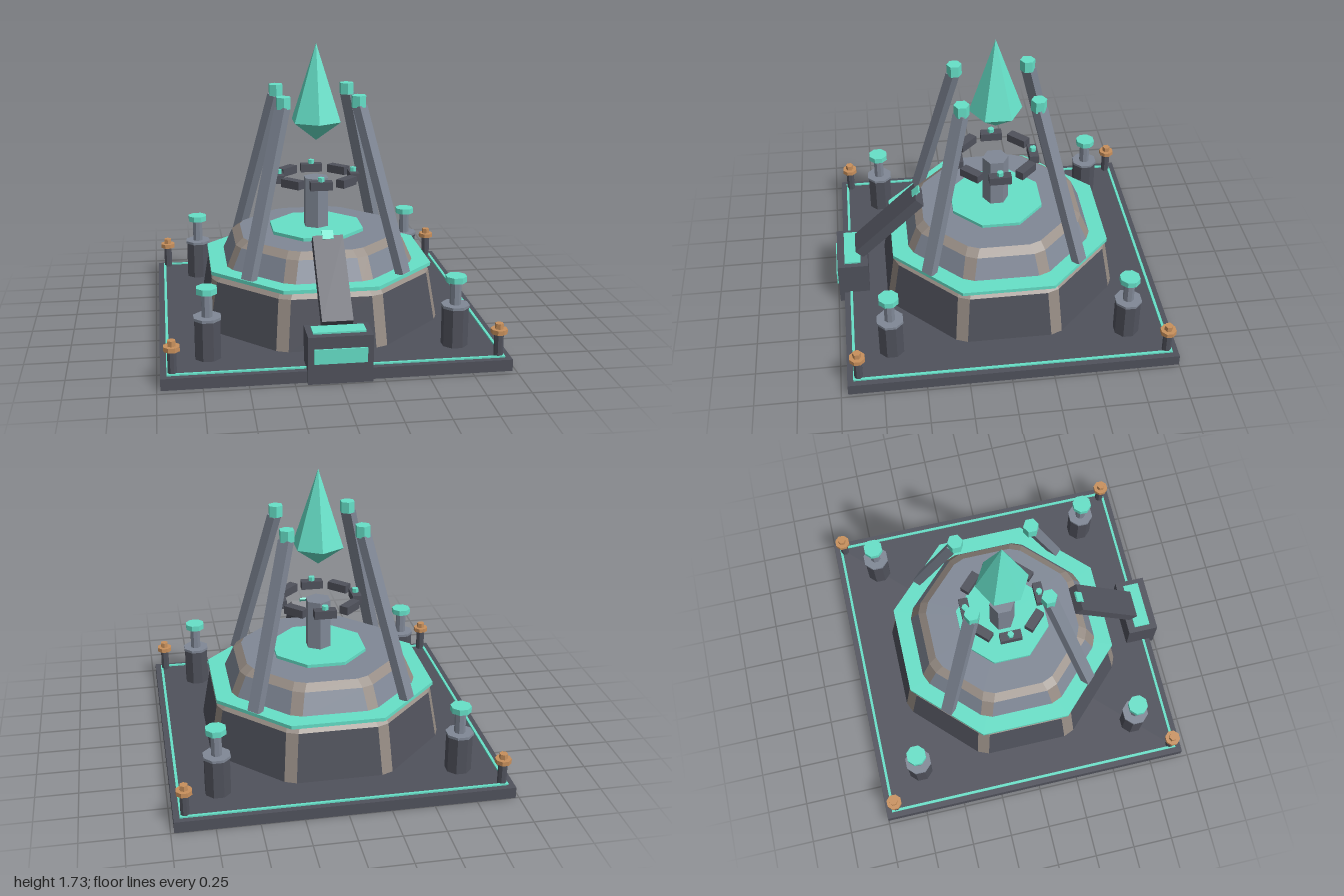
import * as THREE from 'three';

const mat = (color) => new THREE.MeshStandardMaterial({ color, flatShading: true });
const DARK = mat(0x50525c), GREY = mat(0x808896), TEAL = mat(0x66e0c8);
const TAN = mat(0x958b83), COPPER = mat(0xc8905c);

function add(parent, name, geometry, material, x = 0, y = 0, z = 0) {
  const mesh = new THREE.Mesh(geometry, material);
  mesh.name = name;
  mesh.position.set(x, y, z);
  parent.add(mesh);
  return mesh;
}

// Box and prism given by their bottom and top heights
const box = (parent, name, m, w, d, y0, y1, x = 0, z = 0) =>
  add(parent, name, new THREE.BoxGeometry(w, y1 - y0, d), m, x, (y0 + y1) / 2, z);

function prism(parent, name, m, sides, r0, r1, y0, y1, x = 0, z = 0) {
  const g = new THREE.CylinderGeometry(r1, r0, y1 - y0, sides);
  if (sides === 8) g.rotateY(Math.PI / 8);
  return add(parent, name, g, m, x, (y0 + y1) / 2, z);
}

// Box stretched between two points, width w across and depth d
function beam(parent, name, m, from, to, w, d) {
  const dir = to.clone().sub(from);
  const up = dir.clone().normalize();
  const side = new THREE.Vector3(up.z, 0, -up.x).normalize();
  const out = side.clone().cross(up);
  const mesh = add(parent, name, new THREE.BoxGeometry(w, dir.length(), d), m);
  mesh.position.copy(from).addScaledVector(dir, 0.5);
  mesh.quaternion.setFromRotationMatrix(new THREE.Matrix4().makeBasis(side, up, out));
  return mesh;
}

function surface(triangles) {
  const g = new THREE.BufferGeometry().setFromPoints(triangles);
  g.computeVertexNormals();
  return g;
}

// Octagon with cut corners: apothem a, corner cut c
function octagon(a, y, c) {
  const points = [];
  const h = a * Math.tan(Math.PI / 8) - c;
  for (let k = 0; k < 8; k++) {
    for (const s of [-h, h]) {
      points.push(new THREE.Vector3(s, y, a).applyAxisAngle(new THREE.Vector3(0, 1, 0), k * Math.PI / 4));
    }
  }
  return points;
}

// Eight-sided tier: sloped panels, worn corner strips, bevel and roof
function tier(parent, name, material, profile) {
  const group = new THREE.Group();
  group.name = name;
  parent.add(group);
  const rings = profile.map(([a, y]) => octagon(a, y, 0.04));
  const panels = [], edges = [], roof = [];
  for (let i = 0; i < 16; i++) {
    const j = (i + 1) % 16;
    for (let r = 0; r < 2; r++) {
      const [lo, hi] = [rings[r], rings[r + 1]];
      const target = r === 0 && i % 2 === 0 ? panels : edges;
      target.push(lo[i], lo[j], hi[j], lo[i], hi[j], hi[i]);
    }
    roof.push(new THREE.Vector3(0, profile[2][1], 0), rings[2][i], rings[2][j]);
  }
  add(group, name + 'Panels', surface(panels), material);
  add(group, name + 'Edges', surface(edges), TAN);
  add(group, name + 'Roof', surface(roof), GREY);
}

export function createModel() {
  const model = new THREE.Group();
  model.name = 'crystalTower';
  const tower = new THREE.Group();
  tower.name = 'tower';
  tower.position.z = -0.02;
  model.add(tower);
  const V = (x, y, z) => new THREE.Vector3(x, y, z);

  // Square base with a thin inlaid border
  box(tower, 'baseSlab', DARK, 1.96, 1.96, 0, 0.068);
  for (const s of [-1, 1]) {
    box(tower, 'borderStrip', TEAL, 1.89, 0.016, 0.06, 0.077, 0, s * 0.937);
    box(tower, 'borderStrip', TEAL, 0.016, 1.86, 0.06, 0.077, s * 0.937, 0);
  }

  // Two-tier body with glowing plates
  const c8 = Math.cos(Math.PI / 8);
  tier(tower, 'lowerTier', DARK, [[0.71, 0.065], [0.66, 0.365], [0.62, 0.405]]);
  prism(tower, 'lowerPlate', TEAL, 8, 0.663 / c8, 0.663 / c8, 0.4, 0.422);
  tier(tower, 'upperTier', GREY, [[0.565, 0.42], [0.51, 0.548], [0.462, 0.585]]);
  prism(tower, 'upperPlate', TEAL, 8, 0.275 / c8, 0.275 / c8, 0.58, 0.605);

  // Centre pedestal and floating crystal
  prism(tower, 'pedestal', GREY, 6, 0.08, 0.08, 0.6, 0.91);
  prism(tower, 'crystalTop', TEAL, 6, 0.16, 0, 1.26, 1.73);
  prism(tower, 'crystalBottom', TEAL, 6, 0, 0.16, 1.14, 1.26);

  // Ring of floating blocks, studs on every second one
  for (let k = 0; k < 8; k++) {
    const a = k * Math.PI / 4, x = 0.23 * Math.sin(a), z = 0.23 * Math.cos(a);
    box(tower, 'ringBlock', DARK, 0.133, 0.056, 0.888, 0.938, x, z).rotation.y = a;
    if (k % 2 === 0) prism(tower, 'ringStud', TEAL, 6, 0.02, 0.02, 0.935, 0.963, x, z);
  }

  for (const sx of [-1, 1]) {
    for (const sz of [-1, 1]) {
      // Leaning arms with caps
      beam(tower, 'arm', GREY, V(sx * 0.455, 0.42, sz * 0.455), V(sx * 0.228, 1.385, sz * 0.228), 0.075, 0.055);
      prism(tower, 'armCap', TEAL, 6, 0.046, 0.046, 1.38, 1.45, sx * 0.222, sz * 0.222);

      // Pylons
      const p = [sx * 0.71, sz * 0.71];
      prism(tower, 'pylonBody', DARK, 8, 0.078, 0.078, 0.06, 0.3, ...p);
      prism(tower, 'pylonCollar', GREY, 8, 0.083, 0.083, 0.298, 0.314, ...p);
      prism(tower, 'pylonStem', GREY, 8, 0.033, 0.033, 0.31, 0.455, ...p);
      prism(tower, 'pylonCap', TEAL, 8, 0.062, 0.062, 0.45, 0.485, ...p);

      // Corner posts
      const q = [sx * 0.913, sz * 0.913];
      prism(tower, 'postStem', DARK, 8, 0.027, 0.027, 0.06, 0.21, ...q);
      prism(tower, 'postCap', COPPER, 8, 0.048, 0.048, 0.205, 0.232, ...q);
      prism(tower, 'postTip', COPPER, 6, 0.025, 0.025, 0.23, 0.264, ...q);
    }
  }

  // Front console with panels and slanted feed beam
  const front = new THREE.Group();
  front.name = 'frontConsole';
  model.add(front);
  box(front, 'consoleBox', DARK, 0.362, 0.19, 0, 0.274, 0, 0.895);
  box(front, 'consoleFrontPanel', TEAL, 0.296, 0.02, 0.12, 0.205, 0, 0.99);
  box(front, 'consoleTopPanel', TEAL, 0.296, 0.1, 0.265, 0.284, 0, 0.895);
  beam(front, 'slantedBeam', DARK, V(0, 0.292, 0.85), V(0, 0.665, 0.457), 0.176, 0.067);
  beam(front, 'beamTip', TEAL, V(0, 0.67, 0.497), V(0, 0.71, 0.455), 0.065, 0.012);
  return model;
}
